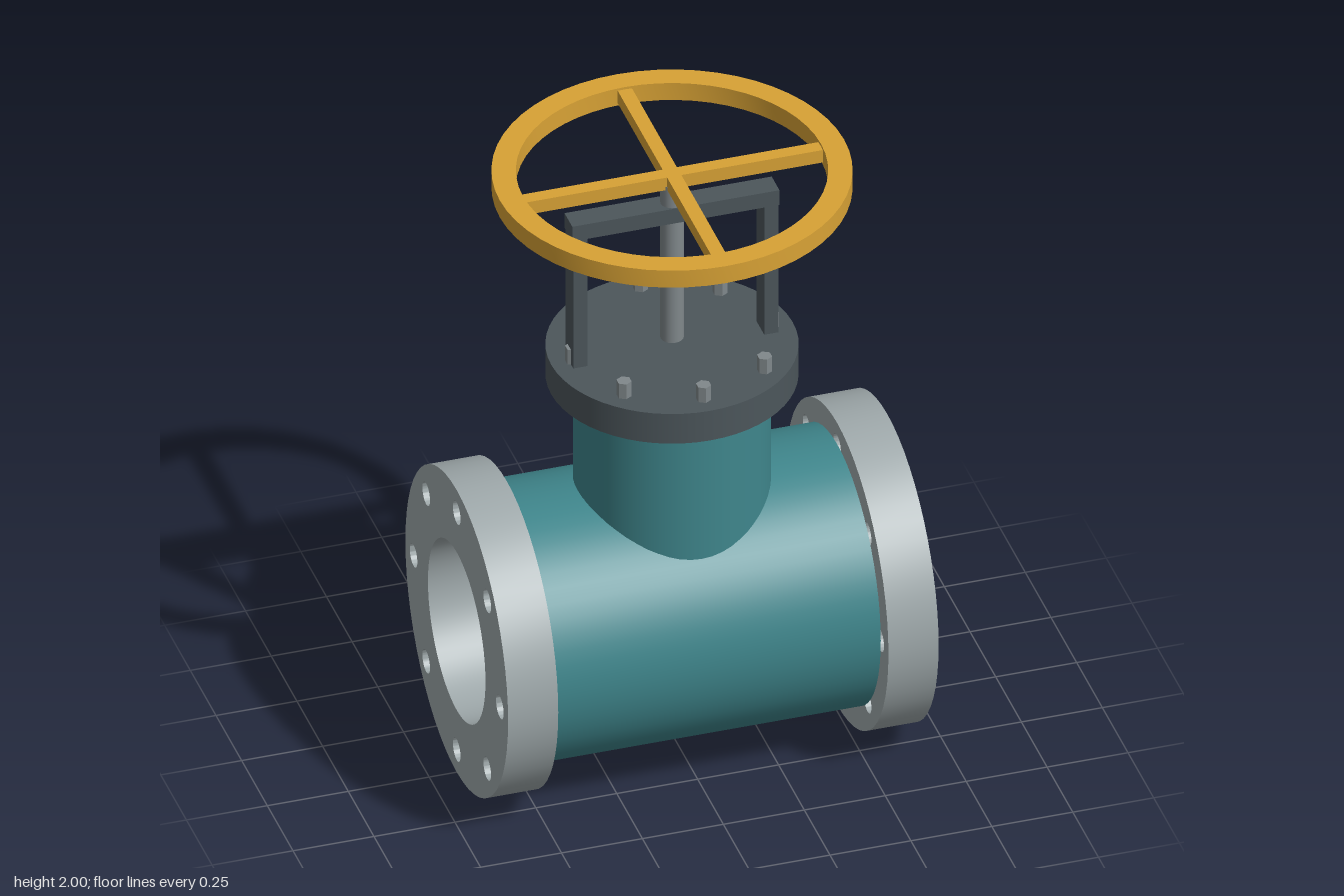
import * as THREE from 'three';
import { toCreasedNormals } from 'three/addons/utils/BufferGeometryUtils.js';

const paint = (color) => new THREE.MeshStandardMaterial({ color });
const teal = paint(0x3f868c), flangeGrey = paint(0x9fa9ab), dark = paint(0x4c565b);
const steel = paint(0x80888b), gold = paint(0xd8a235);

const AXIS_Y = 0.5, BORE = 0.28, BODY_END = 0.51, FLANGE_DEPTH = 0.155;

function part(parent, name, geometry, material, x = 0, y = 0, z = 0) {
  const mesh = new THREE.Mesh(geometry, material);
  mesh.name = name;
  mesh.position.set(x, y, z);
  parent.add(mesh);
  return mesh;
}

// Disc with a round bore and optional ring of holes, extruded along +z
function ring(outer, inner, depth, holeCircle = 0, holeRadius = 0) {
  const circle = (target, x, y, r) => target.absarc(x, y, r, 0, Math.PI * 2, false);
  const shape = circle(new THREE.Shape(), 0, 0, outer);
  shape.holes.push(circle(new THREE.Path(), 0, 0, inner));
  if (holeCircle) {
    for (let i = 0; i < 8; i++) {
      const a = i * Math.PI / 4;
      shape.holes.push(circle(new THREE.Path(), Math.cos(a) * holeCircle, Math.sin(a) * holeCircle, holeRadius));
    }
  }
  const g = new THREE.ExtrudeGeometry(shape, { depth, bevelEnabled: false, curveSegments: 28 });
  return toCreasedNormals(g, 0.6);
}

// Upright cylinder between two heights
function post(parent, name, r, y0, y1, sides, material, x = 0, z = 0) {
  const g = new THREE.CylinderGeometry(r, r, y1 - y0, sides);
  const mesh = part(parent, name, g, material, x, (y0 + y1) / 2, z);
  if (sides === 6) mesh.geometry = toCreasedNormals(g, 0.5);
  return mesh;
}

export function createModel() {
  const model = new THREE.Group();
  model.name = 'gateValve';

  // Hollow pipe body along x
  const body = part(model, 'pipeBody', ring(0.425, BORE, BODY_END * 2), teal, -BODY_END, AXIS_Y, 0);
  body.rotation.y = Math.PI / 2;

  // End flanges with recessed hex bolts in their holes
  for (const side of [1, -1]) {
    const end = new THREE.Group();
    end.name = side > 0 ? 'leftFlange' : 'rightFlange';
    end.position.set(side * BODY_END, AXIS_Y, 0);
    end.rotation.y = side * Math.PI / 2;
    part(end, 'flangeRing', ring(0.5, BORE, FLANGE_DEPTH, 0.42, 0.037), flangeGrey);
    const boltGeometry = toCreasedNormals(new THREE.CylinderGeometry(0.032, 0.032, 0.1, 6), 0.5);
    for (let i = 0; i < 8; i++) {
      const a = i * Math.PI / 4;
      const bolt = part(end, 'flangeBolt', boltGeometry, steel, Math.cos(a) * 0.42, Math.sin(a) * 0.42, 0.07);
      bolt.rotation.x = Math.PI / 2;
    }
    model.add(end);
  }

  // Neck and bonnet plate
  post(model, 'neck', 0.292, 0.772, 1.28, 56, teal);
  post(model, 'bonnet', 0.373, 1.28, 1.385, 56, dark);
  for (let i = 0; i < 8; i++) {
    const a = i * Math.PI / 4;
    post(model, 'bonnetBolt', 0.023, 1.37, 1.437, 6, steel, Math.cos(a) * 0.307, Math.sin(a) * 0.307);
  }

  // Yoke frame
  for (const side of [1, -1]) {
    part(model, 'yokePost', new THREE.BoxGeometry(0.044, 0.46, 0.076), dark, side * 0.295, 1.61, 0);
  }
  part(model, 'yokeBar', new THREE.BoxGeometry(0.64, 0.052, 0.076), dark, 0, 1.862, 0);

  // Stem
  post(model, 'stem', 0.035, 1.41, 1.96, 20, steel);

  // Handwheel
  const wheel = new THREE.Group();
  wheel.name = 'handwheel';
  wheel.position.y = 1.97;
  const rim = part(wheel, 'wheelRim', ring(0.532, 0.46, 0.06), gold, 0, -0.03, 0);
  rim.rotation.x = -Math.PI / 2;
  for (const angle of [0, Math.PI / 2]) {
    const spoke = part(wheel, 'wheelSpoke', new THREE.BoxGeometry(0.94, 0.044, 0.044), gold);
    spoke.rotation.y = angle;
  }
  model.add(wheel);

  return model;
}
